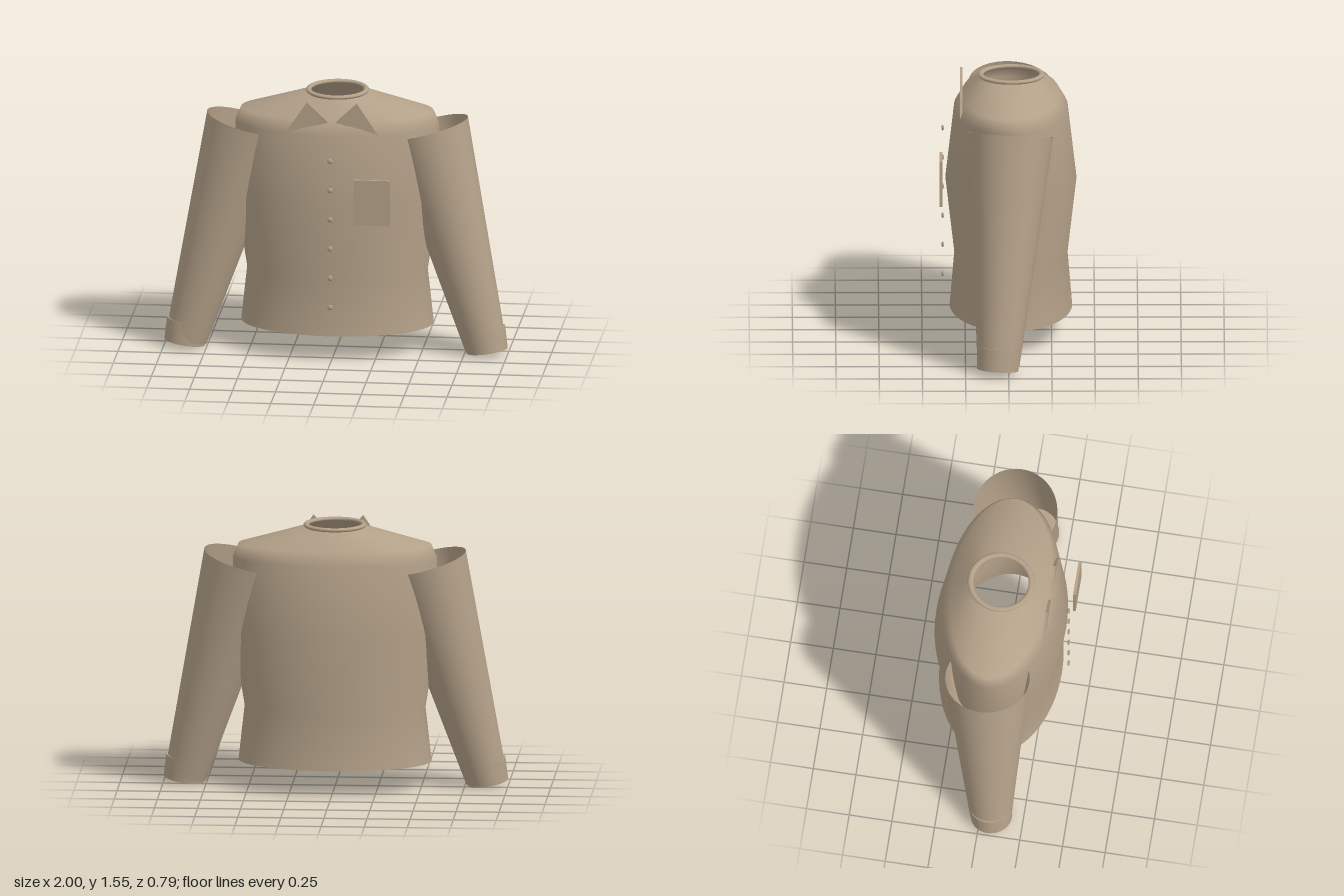
import * as THREE from 'three';
import { mergeVertices } from 'three/addons/utils/BufferGeometryUtils.js';

const CENTRE_Z = -0.015;

// Body shell: elliptical rings [y, half width, half depth], top to bottom
function torsoGeometry() {
  const rings = [
    [1.54, 0.168, 0.172],
    [1.435, 0.56, 0.285],
    [1.36, 0.592, 0.33],
    [0.93, 0.595, 0.38],
    [0.48, 0.525, 0.328],
    [0.16, 0.56, 0.355],
  ];
  const geo = new THREE.CylinderGeometry(1, 1, 1, 64, rings.length - 1, true, Math.PI);
  const pos = geo.attributes.position;
  for (let i = 0; i < pos.count; i++) {
    const [y, rx, rz] = rings[Math.floor(i / 65)];
    pos.setXYZ(i, pos.getX(i) * rx, y, pos.getZ(i) * rz + CENTRE_Z);
  }
  geo.deleteAttribute('uv');
  geo.deleteAttribute('normal');
  const merged = mergeVertices(geo, 1e-4);
  merged.computeVertexNormals();
  return merged;
}

// Tapered tube running from a lower to an upper point
function tubeBetween(bottom, top, rBottom, rTop, open, material) {
  const a = new THREE.Vector3(...bottom);
  const b = new THREE.Vector3(...top);
  const axis = b.clone().sub(a);
  const mesh = new THREE.Mesh(
    new THREE.CylinderGeometry(rTop, rBottom, axis.length(), 48, 1, open), material);
  mesh.position.copy(a).add(b).multiplyScalar(0.5);
  mesh.quaternion.setFromUnitVectors(new THREE.Vector3(0, 1, 0), axis.normalize());
  return mesh;
}

export function createModel() {
  const model = new THREE.Group();
  const cloth = new THREE.MeshStandardMaterial({ color: 0xb3a088, side: THREE.DoubleSide });
  cloth.name = 'tan cloth';
  const add = (name, mesh) => {
    mesh.name = name;
    model.add(mesh);
    return mesh;
  };

  add('torso', new THREE.Mesh(torsoGeometry(), cloth));

  // Neckband ring
  const band = add('neckband', new THREE.Mesh(new THREE.TorusGeometry(0.167, 0.016, 12, 64), cloth));
  band.rotation.x = Math.PI / 2;
  band.scale.set(1, 1.06, 0.75);
  band.position.set(0, 1.548, CENTRE_Z - 0.002);

  for (const [side, s] of [['left', 1], ['right', -1]]) {
    // Sleeve with open ends, and a closed cuff
    add(side + 'Sleeve', tubeBetween(
      [s * 0.872, 0.05, 0.06], [s * 0.522, 1.337, CENTRE_Z], 0.122, 0.245, true, cloth));
    add(side + 'Cuff', tubeBetween(
      [s * 0.881, 0.026, 0.065], [s * 0.861, 0.156, 0.056], 0.12, 0.124, false, cloth));

    // Collar point
    const flap = new THREE.Shape([
      new THREE.Vector2(s * 0.145, 1.548),
      new THREE.Vector2(s * 0.02, 1.43),
      new THREE.Vector2(s * 0.268, 1.363),
    ]);
    const collar = add(side + 'CollarPoint', new THREE.Mesh(
      new THREE.ExtrudeGeometry(flap, { depth: 0.015, bevelEnabled: false }), cloth));
    collar.position.z = 0.265;
  }

  // Row of buttons down the front
  const buttonGeo = new THREE.SphereGeometry(0.016, 16, 12);
  for (let i = 0; i < 6; i++) {
    const button = add('button' + (i + 1), new THREE.Mesh(buttonGeo, cloth));
    button.scale.z = 0.5;
    button.position.set(0, 1.226 - i * 0.176, 0.38);
  }

  // Chest pocket
  const pocket = add('chestPocket', new THREE.Mesh(new THREE.BoxGeometry(0.21, 0.272, 0.016), cloth));
  pocket.position.set(0.245, 0.986, 0.391);

  return model;
}
